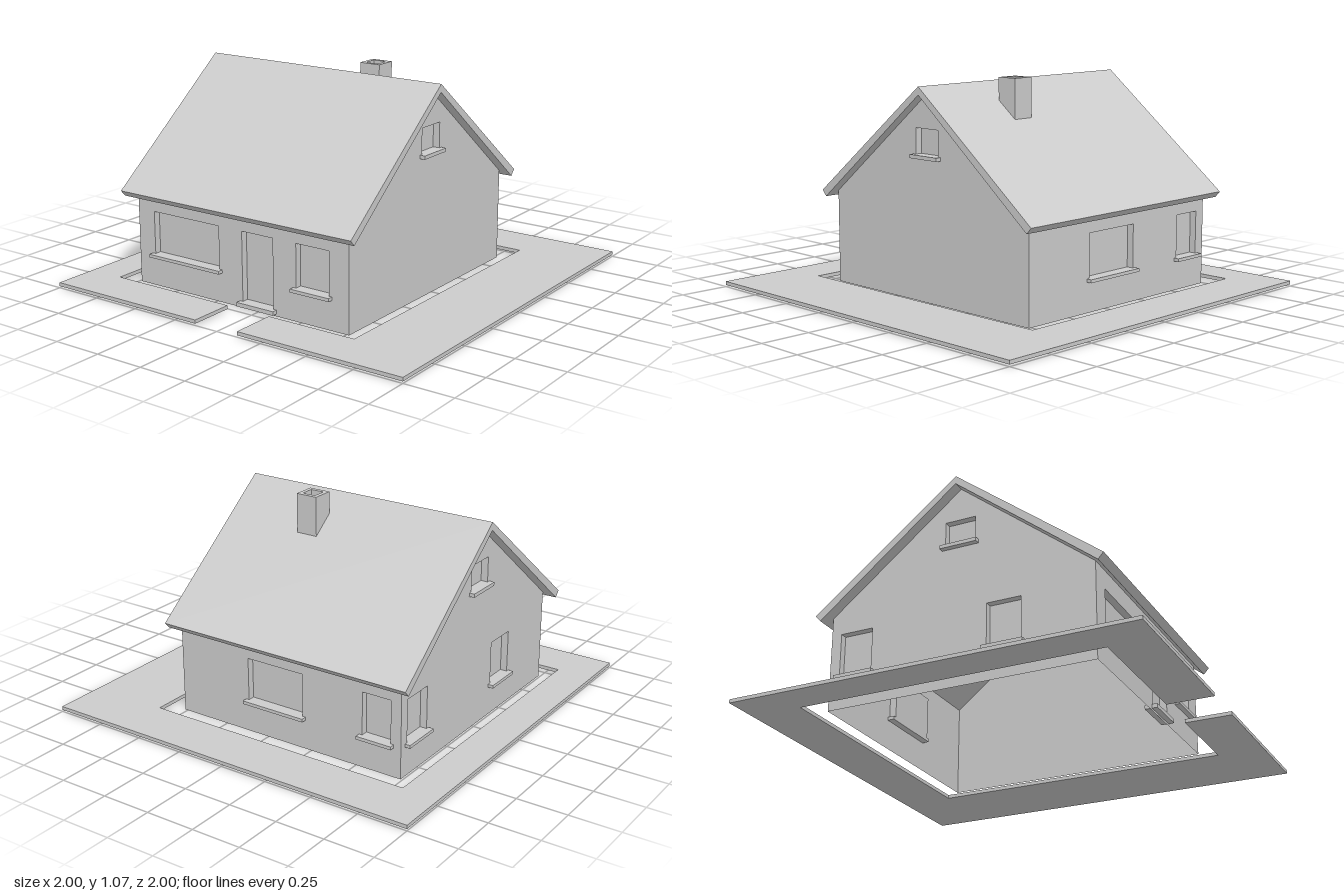
import * as THREE from 'three';

const RIDGE_Z = 0.027, HALF_DEPTH = 0.668, EAVE_Y = 0.468, APEX_Y = 1.0;
const LEFT_X = -0.74, RIGHT_X = 0.515;
const RECESS = 0.035, SILL_OUT = 0.027;

const solid = new THREE.MeshStandardMaterial({ color: 0xcccccc, flatShading: true });
const sheet = new THREE.MeshStandardMaterial({ color: 0xcccccc, flatShading: true, side: THREE.DoubleSide });

function add(parent, name, geometry, material = solid) {
  const mesh = new THREE.Mesh(geometry, material);
  mesh.name = name;
  parent.add(mesh);
  return mesh;
}

const polygon = (points) => new THREE.Shape(points.map(([x, y]) => new THREE.Vector2(x, y)));
const rectangle = (x0, y0, x1, y1) => polygon([[x0, y0], [x1, y0], [x1, y1], [x0, y1]]);
const extrude = (shape, depth) => new THREE.ExtrudeGeometry(shape, { depth, bevelEnabled: false });

// Wall sheet facing local +z; each opening gets an open recess box and a sill
function makeWall(name, outline, openings) {
  const wall = new THREE.Group();
  wall.name = name;
  const shape = polygon(outline);
  for (const { kind, u0, u1, v0, v1, sill = 0.016 } of openings) {
    shape.holes.push(rectangle(u0, v0, u1, v1));

    const recess = new THREE.BoxGeometry(u1 - u0, v1 - v0, RECESS);
    const faces = Array.from(recess.index.array);
    faces.splice(24, 6); // leave the outward side open
    recess.setIndex(faces);
    recess.clearGroups();
    add(wall, kind, recess, sheet).position.set((u0 + u1) / 2, (v0 + v1) / 2, -RECESS / 2);

    const ledge = new THREE.BoxGeometry(u1 - u0 + 0.034, sill, RECESS + SILL_OUT);
    add(wall, kind === 'door' ? 'doorstep' : 'windowSill', ledge)
      .position.set((u0 + u1) / 2, v0 - sill / 2 + 0.001, (SILL_OUT - RECESS) / 2);
  }
  add(wall, name + 'Surface', new THREE.ShapeGeometry(shape), sheet);
  return wall;
}

const windowAt = (u0, u1, v0 = 0.162, v1 = 0.377) => ({ kind: 'window', u0, u1, v0, v1 });

export function createModel() {
  const house = new THREE.Group();
  house.name = 'house';

  // Front and back walls
  const front = makeWall('frontWall',
    [[LEFT_X, 0], [RIGHT_X, 0], [RIGHT_X, EAVE_Y], [LEFT_X, EAVE_Y]],
    [
      windowAt(-0.64, -0.235),
      { kind: 'door', u0: -0.095, u1: 0.087, v0: 0.03, v1: 0.377, sill: 0.02 },
      windowAt(0.22, 0.405),
    ]);
  front.position.z = RIDGE_Z + HALF_DEPTH;

  const back = makeWall('backWall',
    [[-RIGHT_X, 0], [-LEFT_X, 0], [-LEFT_X, EAVE_Y], [-RIGHT_X, EAVE_Y]],
    [windowAt(-0.113, 0.2), windowAt(0.533, 0.685)]);
  back.rotation.y = Math.PI;
  back.position.z = RIDGE_Z - HALF_DEPTH;

  // Gable walls, measured from the ridge line
  const gable = [[-HALF_DEPTH, 0], [HALF_DEPTH, 0], [HALF_DEPTH, EAVE_Y], [0, APEX_Y], [-HALF_DEPTH, EAVE_Y]];
  const attic = windowAt(-0.077, 0.077, 0.71, 0.837);
  attic.sill = 0.018;

  const right = makeWall('plainGable', gable, [attic]);
  right.rotation.y = Math.PI / 2;
  right.position.set(RIGHT_X, 0, RIDGE_Z);

  const left = makeWall('windowedGable', gable, [attic, windowAt(-0.617, -0.45), windowAt(0.14, 0.31)]);
  left.rotation.y = -Math.PI / 2;
  left.position.set(LEFT_X, 0, RIDGE_Z);
  house.add(front, back, right, left);

  // Pitched roof slab
  const roofProfile = polygon([
    [0, 1.04], [-0.73, 0.47], [-0.703, 0.44], [0, APEX_Y], [0.703, 0.44], [0.73, 0.47],
  ]);
  const roof = add(house, 'roof', extrude(roofProfile, 1.364));
  roof.rotation.y = Math.PI / 2;
  roof.position.set(-0.797, 0, RIDGE_Z);

  // Hollow chimney, its foot cut to the slope of the roof
  const stack = rectangle(0.035, -0.192, 0.147, -0.082);
  stack.holes.push(rectangle(0.056, -0.171, 0.126, -0.103));
  const chimneyGeometry = extrude(stack, 0.2).rotateX(Math.PI / 2).translate(0, 1.065, 0);
  const p = chimneyGeometry.attributes.position;
  for (let i = 0; i < p.count; i++) {
    if (p.getY(i) < 1) p.setY(i, 1.02 - 0.79 * (RIDGE_Z - p.getZ(i)));
  }
  chimneyGeometry.computeVertexNormals();
  add(house, 'chimney', chimneyGeometry);

  // Paving around the house, open in front of the door
  const pavingShape = polygon([
    [-1, -1], [1, -1], [1, 1], [0.118, 1], [0.118, 0.77], [0.595, 0.77],
    [0.595, -0.74], [-0.815, -0.74], [-0.815, 0.77], [-0.127, 0.77], [-0.127, 1], [-1, 1],
  ]);
  const paving = extrude(pavingShape, 0.018).rotateX(Math.PI / 2).translate(0, 0.027, 0);
  add(house, 'paving', paving);

  return house;
}
